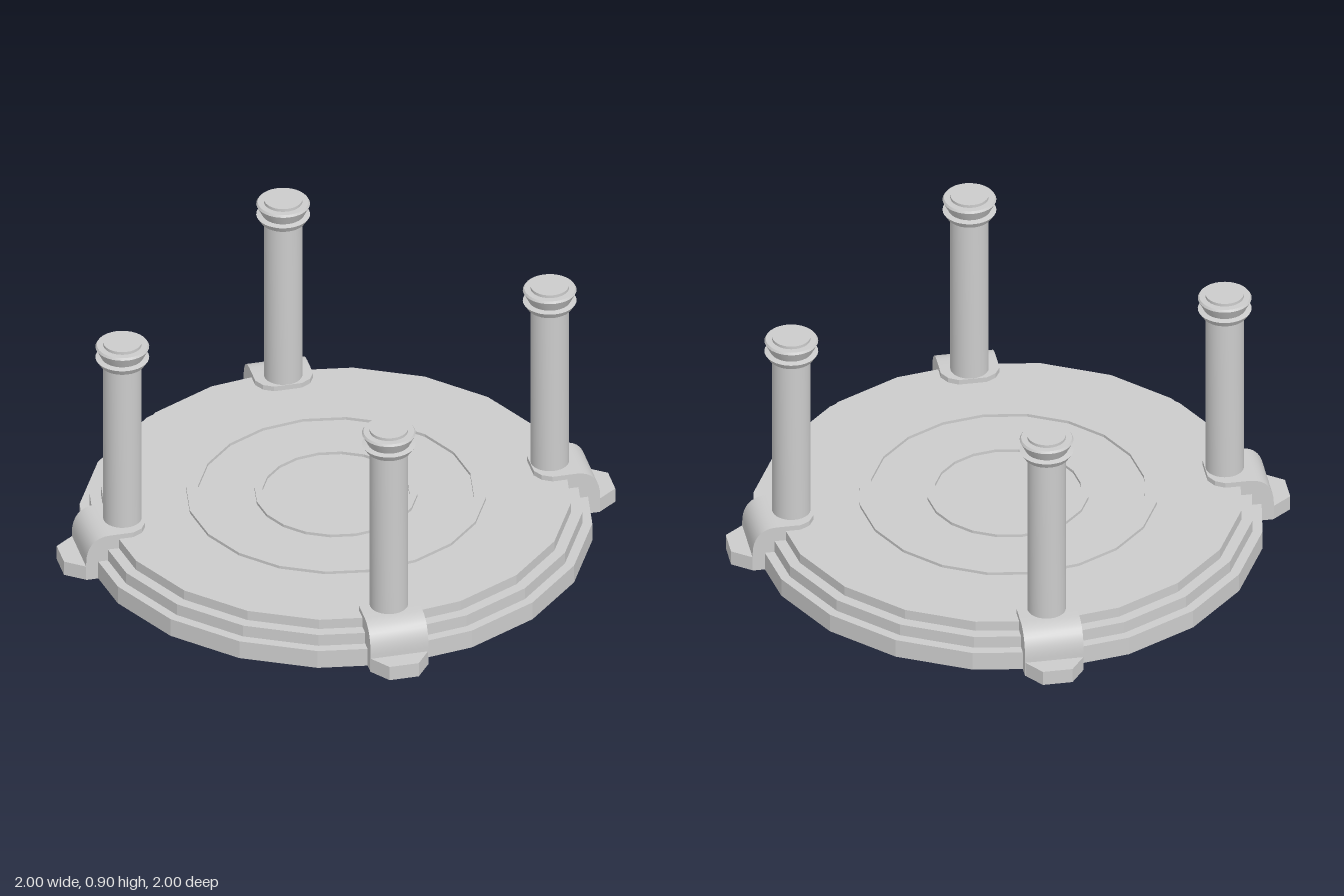
import * as THREE from 'three';
import { toCreasedNormals } from 'three/addons/utils/BufferGeometryUtils.js';

const smooth = new THREE.MeshStandardMaterial({ color: 0xcccccc });
const faceted = new THREE.MeshStandardMaterial({ color: 0xcccccc, flatShading: true });
const vectors = (list) => list.map(([x, y]) => new THREE.Vector2(x, y));

function part(name, geometry, material) {
  const mesh = new THREE.Mesh(geometry, material);
  mesh.name = name;
  return mesh;
}

// Outline given as (sideways, outward), extruded upward from y0 to y1
function slab(outline, y0, y1) {
  const shape = new THREE.Shape(vectors(outline.map(([x, r]) => [x, -r])));
  return new THREE.ExtrudeGeometry(shape, { depth: y1 - y0, bevelEnabled: false })
    .rotateX(-Math.PI / 2).translate(0, y0, 0);
}

// Stepped twenty-sided platform with two raised rings on top
function createPlatform() {
  const profile = [
    [0, 0], [0.905, 0], [0.905, 0.07], [0.87, 0.07], [0.87, 0.115],
    [0.83, 0.115], [0.83, 0.153],
    [0.53, 0.153], [0.53, 0.164], [0.487, 0.164], [0.487, 0.153],
    [0.287, 0.153], [0.287, 0.164], [0.26, 0.164], [0.26, 0.153], [0, 0.153],
  ];
  return part('platform', new THREE.LatheGeometry(vectors(profile), 20), faceted);
}

// Round shaft with a double flared capital
function createPillar() {
  const profile = [
    [0.068, 0.165], [0.068, 0.818], [0.08, 0.818], [0.095, 0.842],
    [0.075, 0.846], [0.095, 0.886], [0.09, 0.894], [0.068, 0.894],
    [0.068, 0.905], [0, 0.905],
  ];
  const geometry = new THREE.LatheGeometry(vectors(profile), 32);
  const pillar = part('pillar', toCreasedNormals(geometry, 0.45), smooth);
  pillar.position.z = 0.775;
  return pillar;
}

// Bracket curving over the platform edge, with a pillar seat and a tapered toe
function createFoot() {
  const foot = new THREE.Group();
  foot.name = 'foot';
  const w = 0.105, top = 0.172;

  const side = new THREE.Shape();
  side.moveTo(0.8, 0);
  side.lineTo(0.932, 0);
  side.lineTo(0.932, 0.07);
  side.bezierCurveTo(0.932, 0.13, 0.905, top, 0.845, top);
  side.lineTo(0.8, top);
  side.closePath();
  const bracket = new THREE.ExtrudeGeometry(side, { depth: 2 * w, bevelEnabled: false, curveSegments: 8 })
    .translate(0, 0, -w).rotateY(-Math.PI / 2);
  foot.add(part('bracket', toCreasedNormals(bracket, 0.6), smooth));

  const seat = [[-w, 0.8], [w, 0.8], [w, 0.76], [0.085, 0.725], [0.05, 0.705],
    [-0.05, 0.705], [-0.085, 0.725], [-w, 0.76]];
  foot.add(part('pillarSeat', slab(seat, 0.15, top), faceted));

  const toe = [[-w, 0.93], [w, 0.93], [0.053, 1], [-0.053, 1]];
  foot.add(part('toe', slab(toe, 0, 0.055), faceted));
  return foot;
}

export function createModel() {
  const model = new THREE.Group();
  model.name = 'pillaredPlatform';
  model.add(createPlatform());

  // Four identical corner supports, a quarter turn apart
  ['front', 'left', 'back', 'right'].forEach((place, i) => {
    const support = new THREE.Group();
    support.name = place + 'Support';
    support.add(createFoot(), createPillar());
    support.rotation.y = i * Math.PI / 2;
    model.add(support);
  });
  return model;
}
